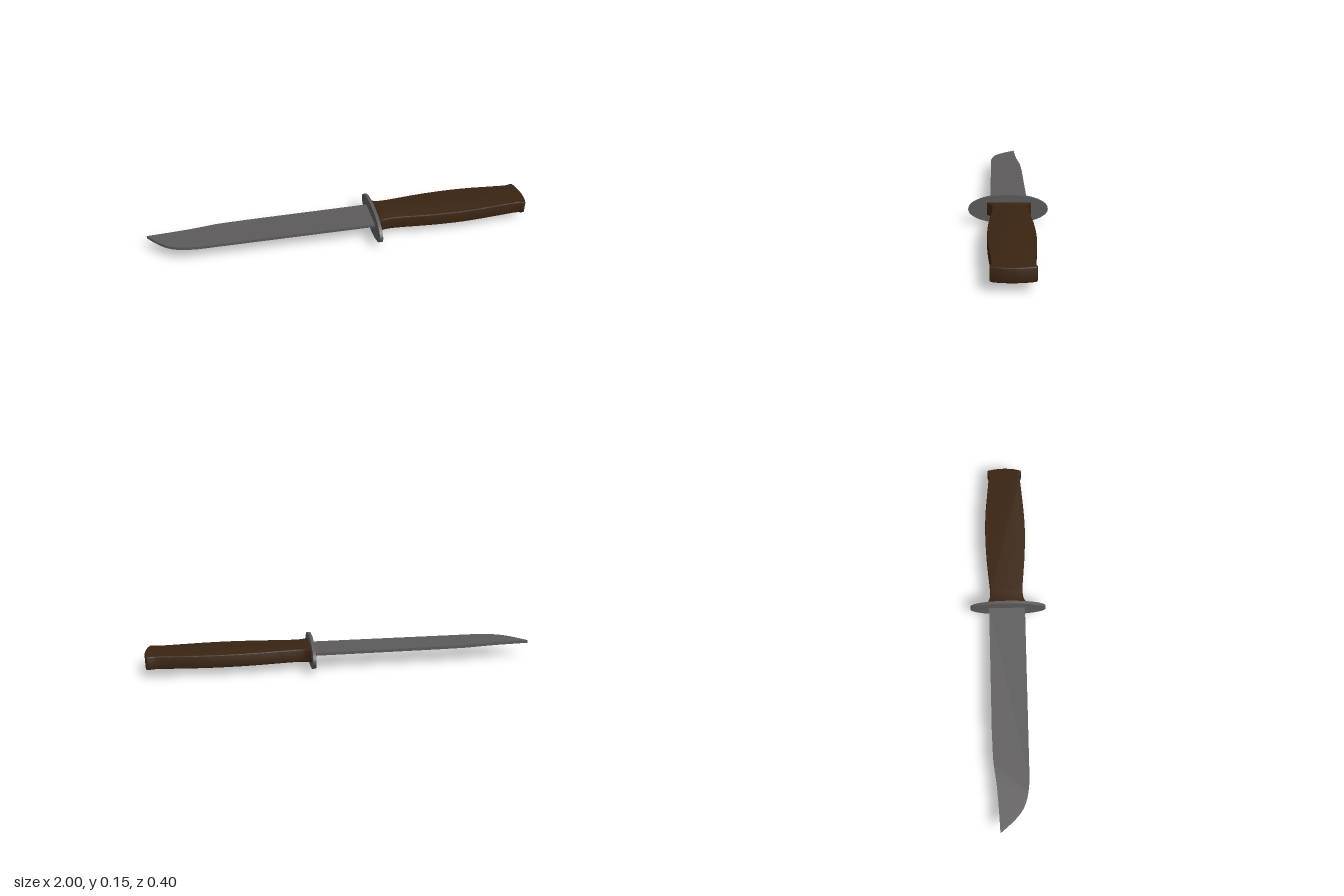
import * as THREE from 'three';
import { toCreasedNormals } from 'three/addons/utils/BufferGeometryUtils.js';

const steel = new THREE.MeshStandardMaterial({ color: 0x5c5a5b });
const wood = new THREE.MeshStandardMaterial({ color: 0x3a2412 });

const vectors = (points) => points.map(([x, z]) => new THREE.Vector2(x, -z));

// Lays an (x, z) outline flat, from height y0 to y1, with an optional rounded rim
function slab(name, shape, y0, y1, bevel, material) {
  const geometry = new THREE.ExtrudeGeometry(shape, {
    depth: y1 - y0 - 2 * bevel,
    curveSegments: 8,
    bevelEnabled: bevel > 0,
    bevelThickness: bevel,
    bevelSize: bevel,
    bevelOffset: -bevel,
    bevelSegments: 3,
  });
  geometry.rotateX(-Math.PI / 2);
  geometry.translate(0, y0 + bevel, 0);
  const mesh = new THREE.Mesh(toCreasedNormals(geometry, 0.6), material);
  mesh.name = name;
  return mesh;
}

export function createModel() {
  const group = new THREE.Group();
  group.name = 'knife';

  // Blade: clipped spine at the back, curved belly at the front
  const blade = new THREE.Shape();
  blade.moveTo(0.16, 0.1);
  blade.lineTo(-0.5, 0.092);
  blade.lineTo(-0.64, 0.087);
  blade.splineThru(vectors([[-0.68, -0.083], [-0.76, -0.072], [-0.86, -0.063], [-1, -0.055]]));
  blade.splineThru(vectors([[-0.95, 0.005], [-0.9, 0.05], [-0.84, 0.077], [-0.76, 0.09]]));
  blade.lineTo(0.16, -0.09);
  group.add(slab('blade', blade, 0.076, 0.091, 0, steel));

  // Oval guard, standing across the blade
  const guardShape = new THREE.CylinderGeometry(1, 1, 0.016, 64);
  guardShape.rotateZ(Math.PI / 2);
  guardShape.scale(1, 0.075, 0.2);
  const guard = new THREE.Mesh(guardShape, steel);
  guard.name = 'guard';
  guard.position.set(0.161, 0.075, 0);
  group.add(guard);

  // Handle: flared collar, swelling grip and slightly rounded butt
  const handle = new THREE.Shape();
  handle.moveTo(0.166, 0.119);
  handle.splineThru(vectors([
    [0.18, -0.107], [0.205, -0.096], [0.25, -0.094], [0.32, -0.1], [0.46, -0.113], [0.6, -0.118],
    [0.72, -0.115], [0.84, -0.105], [0.94, -0.097], [0.975, -0.104], [0.988, -0.1],
  ]));
  handle.splineThru(vectors([[0.996, -0.06], [1, -0.01], [0.996, 0.045], [0.986, 0.084]]));
  handle.splineThru(vectors([
    [0.972, 0.087], [0.94, 0.08], [0.84, 0.087], [0.72, 0.096], [0.6, 0.1], [0.46, 0.095],
    [0.32, 0.083], [0.25, 0.079], [0.205, 0.083], [0.18, 0.096], [0.166, 0.109],
  ]));
  group.add(slab('handle', handle, 0.044, 0.111, 0.005, wood));

  return group;
}
